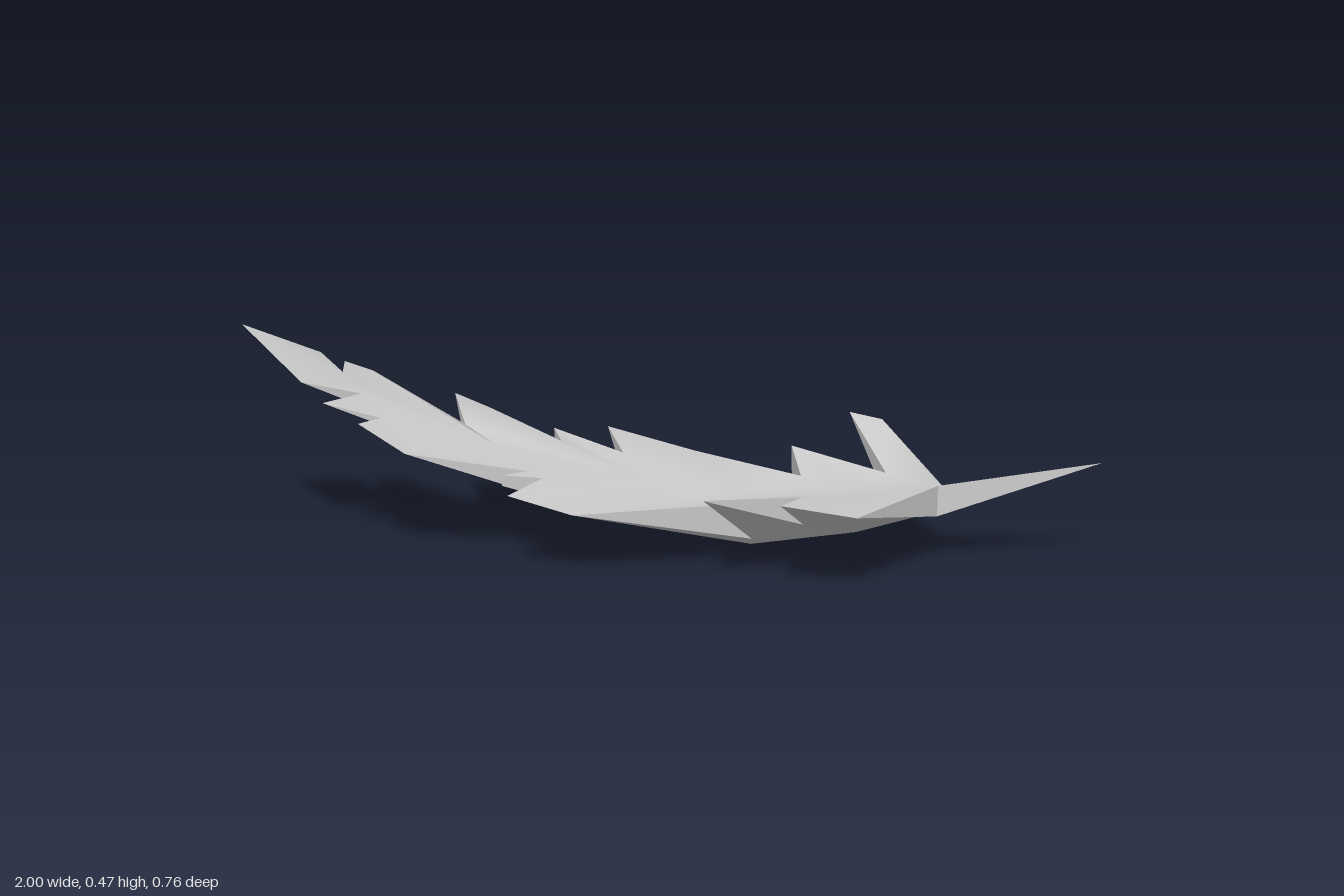
import * as THREE from 'three';
import { toCreasedNormals } from 'three/addons/utils/BufferGeometryUtils.js';

// Centre line: x, keel height, top height
const SPINE = [
  [-1, 0.475, 0.475], [-0.73, 0.31, 0.345], [-0.38, 0.13, 0.205], [-0.04, 0.03, 0.145],
  [0.22, 0, 0.125], [0.46, 0.04, 0.135], [0.65, 0.1, 0.15], [1, 0.225, 0.225],
];

// Half width of the vane if it had no notches: x, width
const ENVELOPE = [
  [-1, 0.02], [-0.8, 0.15], [-0.73, 0.205], [-0.52, 0.265], [-0.27, 0.325],
  [-0.12, 0.35], [0.17, 0.37], [1, 0.38],
];

// Notched edges from the tip to the quill: x, z, top height, and a low height where it is not the usual one
const LEFT_EDGE = [
  [-0.8, 0.15, 0.37], [-0.69, 0.055, 0.33], [-0.73, 0.205, 0.335], [-0.62, 0.13, 0.29],
  [-0.64, 0.225, 0.295], [-0.52, 0.265, 0.24], [-0.275, 0.13, 0.18], [-0.31, 0.22, 0.19],
  [-0.23, 0.17, 0.175], [-0.27, 0.325, 0.17], [-0.12, 0.35, 0.14], [0.24, 0.13, 0.13],
  [0.17, 0.37, 0.19], [0.365, 0.215, 0.17], [0.335, 0.38, 0.19], [0.495, 0.375, 0.17],
  [0.645, 0.055, 0.17, 0.1],
];
const RIGHT_EDGE = [
  [-0.845, -0.105, 0.395], [-0.77, -0.045, 0.36], [-0.8, -0.145, 0.368], [-0.74, -0.18, 0.34],
  [-0.47, -0.045, 0.245], [-0.555, -0.25, 0.278], [-0.475, -0.275, 0.24], [-0.265, -0.155, 0.19],
  [-0.305, -0.25, 0.2], [-0.115, -0.165, 0.165], [-0.19, -0.34, 0.19], [-0.105, -0.36, 0.16],
  [0.045, -0.26, 0.155], [0.32, -0.11, 0.14], [0.28, -0.25, 0.18], [0.515, -0.135, 0.15],
  [0.405, -0.385, 0.24], [0.485, -0.385, 0.225], [0.655, -0.05, 0.14, 0.14],
];

// Edge corner that each inner spine point is joined to
const LEFT_RIBS = [1, 6, 10, 11, 13, 16];
const RIGHT_RIBS = [1, 4, 9, 13, 15, 18];

// Linear lookup of column 1 by x
function lookup(table, x) {
  let i = 1;
  while (i < table.length - 1 && table[i][0] < x) i++;
  const [a, b] = [table[i - 1], table[i]];
  return THREE.MathUtils.lerp(a[1], b[1], (x - a[0]) / (b[0] - a[0]));
}

// Underside climbs from the keel and meets the top at the barb ends
function edgePoint([x, z, top, low]) {
  const t = Math.min(1, Math.abs(z) / lookup(ENVELOPE, x));
  return { x, z, top, low: low ?? THREE.MathUtils.lerp(lookup(SPINE, x), top, t) };
}

// One half of the vane: top and underside rib by rib, then the walls of its edge
function addHalf(edge, ribs, side, positions) {
  const spine = SPINE.map(([x, low, top]) => ({ x, z: 0, top, low }));
  const outline = [spine[0], ...edge.map(edgePoint), spine.at(-1)];
  const cuts = [0, ...ribs.map((i) => i + 1), outline.length - 1];

  // Reversing each face on one side keeps all of them facing outward
  const face = (...corners) => {
    if (side < 0) corners.reverse();
    corners.forEach(([p, level]) => positions.push(p.x, p[level], p.z));
  };

  for (let i = 0; i < spine.length - 1; i++) {
    const border = outline.slice(cuts[i], cuts[i + 1] + 1);
    const ring = [...new Set([spine[i], ...border, spine[i + 1]])];
    if (side > 0) ring.reverse();
    const flat = ring.map((p) => new THREE.Vector2(p.x, p.z * side));
    if (THREE.ShapeUtils.isClockWise(flat)) { flat.reverse(); ring.reverse(); }
    for (const [a, b, c] of THREE.ShapeUtils.triangulateShape(flat, [])) {
      face([ring[a], 'top'], [ring[c], 'top'], [ring[b], 'top']);
      face([ring[a], 'low'], [ring[b], 'low'], [ring[c], 'low']);
    }
  }

  for (let i = 0; i < outline.length - 1; i++) {
    const [p, q] = [outline[i], outline[i + 1]];
    if (q.top - q.low > 1e-5) face([p, 'low'], [q, 'low'], [q, 'top']);
    if (p.top - p.low > 1e-5) face([p, 'low'], [q, 'top'], [p, 'top']);
  }
}

export function createModel() {
  const positions = [];
  addHalf(LEFT_EDGE, LEFT_RIBS, 1, positions);
  addHalf(RIGHT_EDGE, RIGHT_RIBS, -1, positions);

  const geometry = new THREE.BufferGeometry();
  geometry.setAttribute('position', new THREE.Float32BufferAttribute(positions, 3));

  const feather = new THREE.Mesh(
    toCreasedNormals(geometry, 0.8),
    new THREE.MeshStandardMaterial({ color: 0xcccccc, side: THREE.DoubleSide }),
  );
  feather.name = 'feather';

  const group = new THREE.Group();
  group.name = 'curvedFeather';
  group.add(feather);
  return group;
}
